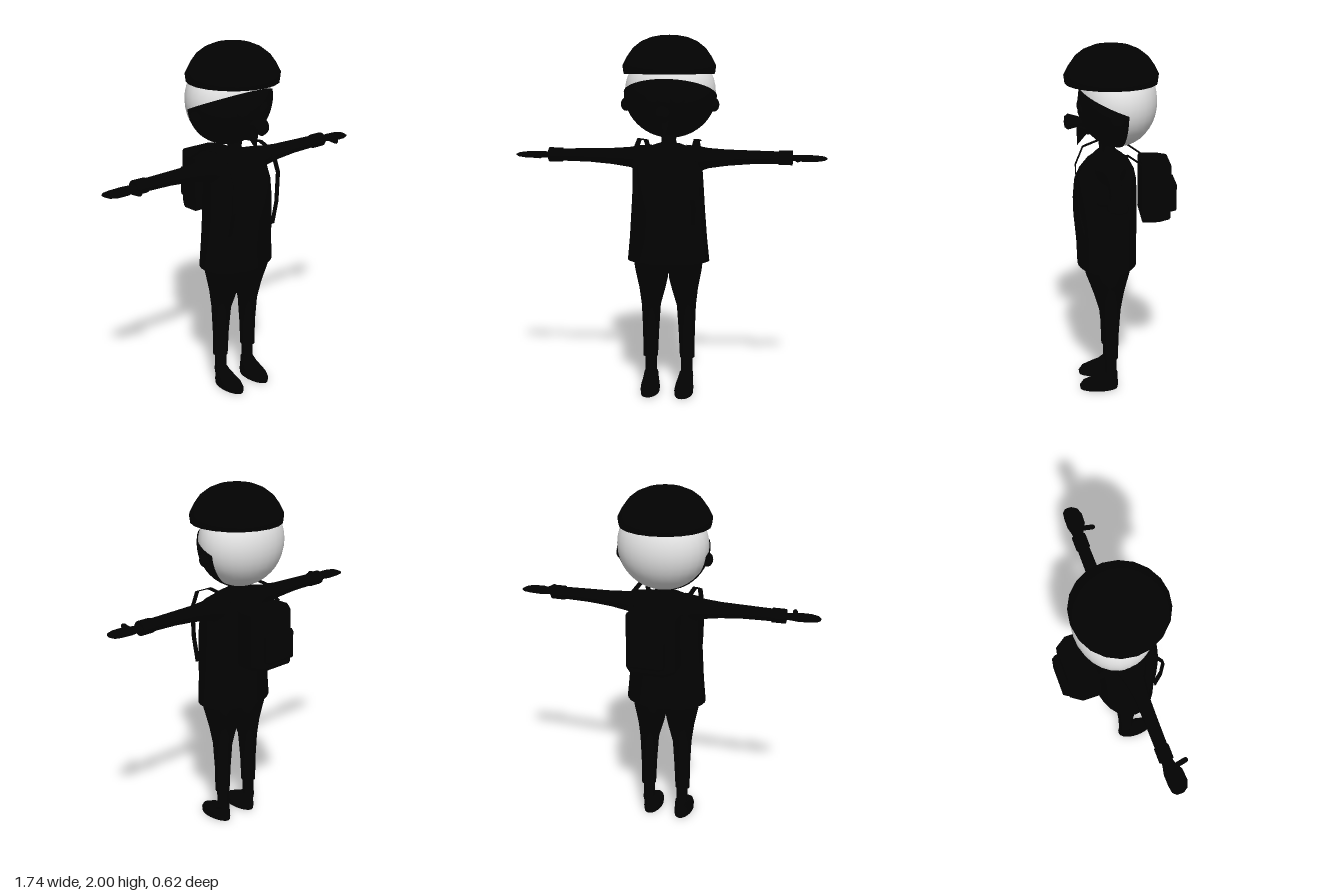
import * as THREE from 'three';

const black = new THREE.MeshStandardMaterial({ color: 0x020202, side: THREE.DoubleSide });
black.name = 'black cloth';
const pale = new THREE.MeshStandardMaterial({ color: 0xe8e8e8 });
pale.name = 'pale skin';

function add(parent, name, geometry, x = 0, y = 0, z = 0, material = black) {
  const mesh = new THREE.Mesh(geometry, material);
  mesh.name = name;
  mesh.position.set(x, y, z);
  parent.add(mesh);
  return mesh;
}

// Closed skin over elliptical rings [centreX, y, centreZ, radiusX, radiusZ], bottom to top
function loft(rings, n = 20) {
  const pos = [], idx = [];
  for (const [cx, y, cz, rx, rz] of rings) {
    for (let i = 0; i < n; i++) {
      const a = (i / n) * Math.PI * 2;
      pos.push(cx + rx * Math.sin(a), y, cz + rz * Math.cos(a));
    }
  }
  for (let r = 0; r < rings.length - 1; r++) {
    for (let i = 0; i < n; i++) {
      const a = r * n + i, b = r * n + (i + 1) % n;
      idx.push(a, b, b + n, a, b + n, a + n);
    }
  }
  // Caps use their own corners so the rims stay sharp
  for (const [r, top] of [[0, false], [rings.length - 1, true]]) {
    const start = pos.length / 3;
    pos.push(...pos.slice(r * n * 3, (r + 1) * n * 3), rings[r][0], rings[r][1], rings[r][2]);
    for (let i = 0; i < n; i++) {
      const a = start + i, b = start + (i + 1) % n;
      if (top) idx.push(a, b, start + n); else idx.push(b, a, start + n);
    }
  }
  const g = new THREE.BufferGeometry();
  g.setAttribute('position', new THREE.Float32BufferAttribute(pos, 3));
  g.setIndex(idx);
  g.computeVertexNormals();
  return g;
}

// Face covering: part of an ellipsoid below a sloping upper edge
function maskGeometry(cy, cz, rx, ry, rz) {
  const nu = 28, nv = 14, pos = [], idx = [];
  for (let i = 0; i <= nu; i++) {
    const phi = (i / nu * 2 - 1) * 1.76;
    const top = Math.asin((1.675 + 0.09 * Math.cos(phi) - cy) / ry);
    for (let j = 0; j <= nv; j++) {
      const lat = -Math.PI / 2 + (top + Math.PI / 2) * j / nv;
      pos.push(rx * Math.cos(lat) * Math.sin(phi), cy + ry * Math.sin(lat),
        cz + rz * Math.cos(lat) * Math.cos(phi));
      if (i < nu && j < nv) {
        const a = i * (nv + 1) + j, b = a + nv + 1;
        idx.push(a, b, b + 1, a, b + 1, a + 1);
      }
    }
  }
  const g = new THREE.BufferGeometry();
  g.setAttribute('position', new THREE.Float32BufferAttribute(pos, 3));
  g.setIndex(idx);
  g.computeVertexNormals();
  return g;
}

// Upright block with chamfered outer corners, back towards -z
function packGeometry(half, depth, chamfer, height, bevel) {
  const s = new THREE.Shape();
  const h = half - bevel, d = depth - bevel;
  s.moveTo(-h, bevel);
  s.lineTo(h, bevel);
  s.lineTo(h, d - chamfer);
  s.lineTo(h - chamfer * 0.7, d);
  s.lineTo(-h + chamfer * 0.7, d);
  s.lineTo(-h, d - chamfer);
  const g = new THREE.ExtrudeGeometry(s, { depth: height - 2 * bevel, bevelThickness: bevel,
    bevelSize: bevel, bevelSegments: 2 });
  g.translate(0, 0, bevel);
  return g.rotateX(-Math.PI / 2);
}

function buildSide() {
  const side = new THREE.Group();
  // Leg and foot
  add(side, 'trouserLeg', loft([
    [0.105, 0.2, 0.062, 0.042, 0.042], [0.102, 0.35, 0.062, 0.046, 0.047],
    [0.1, 0.5, 0.064, 0.054, 0.06], [0.092, 0.6, 0.07, 0.074, 0.085],
    [0.091, 0.66, 0.073, 0.087, 0.103], [0.094, 0.72, 0.076, 0.095, 0.122],
    [0.096, 0.8, 0.078, 0.1, 0.138]]));
  add(side, 'ankle', new THREE.CylinderGeometry(0.033, 0.033, 0.16, 14), 0.103, 0.16, 0.062);
  add(side, 'shoe', loft([
    [0.096, 0.005, 0.13, 0.05, 0.108], [0.096, 0.03, 0.13, 0.052, 0.112],
    [0.097, 0.055, 0.122, 0.049, 0.102], [0.098, 0.075, 0.1, 0.044, 0.078],
    [0.1, 0.09, 0.078, 0.042, 0.055], [0.101, 0.11, 0.064, 0.038, 0.042]]));

  // Arm lofted upright, then laid along x
  const arm = new THREE.Group();
  arm.name = 'arm';
  arm.rotation.z = -Math.PI / 2;
  arm.position.set(0, 1.338, 0.058);
  side.add(arm);
  add(arm, 'sleeve', loft([
    [0.02, 0.1, 0.01, 0.085, 0.1], [0.012, 0.17, 0.006, 0.07, 0.075],
    [0.008, 0.22, 0, 0.056, 0.055], [0.004, 0.32, 0, 0.045, 0.04],
    [0, 0.45, 0, 0.038, 0.036], [0, 0.62, 0, 0.034, 0.034]], 16));
  add(arm, 'cuff', new THREE.CylinderGeometry(0.04, 0.04, 0.075, 16), 0, 0.643, 0);
  add(arm, 'hand', loft([
    [0, 0.66, 0, 0.016, 0.026], [0, 0.71, 0.003, 0.017, 0.035],
    [0.001, 0.75, 0.01, 0.019, 0.051], [0.001, 0.81, 0.012, 0.017, 0.052],
    [0.001, 0.85, 0.008, 0.012, 0.042], [0.001, 0.868, 0.004, 0.004, 0.02]], 14));
  const thumb = add(arm, 'thumb', new THREE.CapsuleGeometry(0.014, 0.055, 4, 10), 0.001, 0.717, 0.065);
  thumb.rotation.x = Math.PI / 2 + 0.2;

  // Shoulder strap as flat lengths between points
  const strap = [[0.98, 0.205], [1.12, 0.235], [1.29, 0.243], [1.395, 0.2], [1.435, 0.1],
    [1.42, -0.03], [1.35, -0.13]];
  for (let i = 0; i < strap.length - 1; i++) {
    const [y0, z0] = strap[i], [y1, z1] = strap[i + 1];
    const piece = add(side, 'strap', new THREE.BoxGeometry(0.026, 0.006, Math.hypot(y1 - y0, z1 - z0)),
      i === strap.length - 2 ? 0.145 : 0.157, (y0 + y1) / 2, (z0 + z1) / 2);
    piece.rotation.x = -Math.atan2(y1 - y0, z1 - z0);
  }

  // Ear and eye cover
  add(side, 'ear', new THREE.SphereGeometry(1, 14, 10), 0.245, 1.622, 0.03).scale.set(0.03, 0.038, 0.038);
  const eye = add(side, 'eyeCover', new THREE.SphereGeometry(1, 16, 10), 0.07, 1.655, 0.214);
  eye.scale.set(0.04, 0.04, 0.018);
  eye.rotation.y = 0.25;
  return side;
}

export function createModel() {
  const model = new THREE.Group();
  model.name = 'maskedFigure';

  const left = buildSide();
  left.name = 'leftSide';
  const right = buildSide();
  right.name = 'rightSide';
  right.scale.x = -1;
  model.add(left, right);

  // Long top, neck
  add(model, 'tunic', loft([
    [0, 0.76, 0.075, 0.23, 0.168], [0, 0.9, 0.078, 0.216, 0.17],
    [0, 1.05, 0.084, 0.205, 0.178], [0, 1.15, 0.085, 0.199, 0.179],
    [0, 1.25, 0.083, 0.192, 0.172], [0, 1.31, 0.076, 0.184, 0.152],
    [0, 1.36, 0.07, 0.162, 0.118], [0, 1.39, 0.066, 0.12, 0.08],
    [0, 1.41, 0.065, 0.06, 0.05]], 28));
  add(model, 'neck', loft([
    [0, 1.38, 0.062, 0.05, 0.045], [0, 1.43, 0.062, 0.04, 0.035], [0, 1.48, 0.06, 0.05, 0.045]]));

  // Head with its covering
  add(model, 'head', new THREE.SphereGeometry(1, 28, 20), 0, 1.69, 0.01, pale).scale.set(0.253, 0.247, 0.212);
  add(model, 'mask', maskGeometry(1.69, 0.01, 0.259, 0.253, 0.22));

  // Flared nose piece and pointed chin piece
  const nose = [[0, 0], [0.03, 0], [0.026, 0.035], [0.036, 0.07], [0.044, 0.1], [0.03, 0.118], [0, 0.122]];
  const noseMesh = add(model, 'nose',
    new THREE.LatheGeometry(nose.map(p => new THREE.Vector2(...p)), 16), 0, 1.578, 0.185);
  noseMesh.rotation.x = Math.PI / 2;
  const chin = add(model, 'chinPoint', new THREE.ConeGeometry(0.04, 0.11, 12), 0, 1.495, 0.218);
  chin.rotation.x = Math.PI - 0.35;

  // Cap with a closed underside
  const cap = [[0, 1.82], [0.225, 1.82], [0.235, 1.79], [0.252, 1.79], [0.258, 1.835], [0.232, 1.885],
    [0.2, 1.93], [0.155, 1.965], [0.1, 1.988], [0.05, 1.997], [0, 2]];
  add(model, 'cap', new THREE.LatheGeometry(cap.map(p => new THREE.Vector2(...p)), 20), 0, 0, 0.047);

  // Backpack with outer pocket
  add(model, 'backpack', packGeometry(0.14, 0.165, 0.05, 0.335, 0.02), 0, 1.028, -0.11);
  add(model, 'backpackPocket', packGeometry(0.1, 0.05, 0.015, 0.165, 0.012), 0, 1.078, -0.258);

  return model;
}
